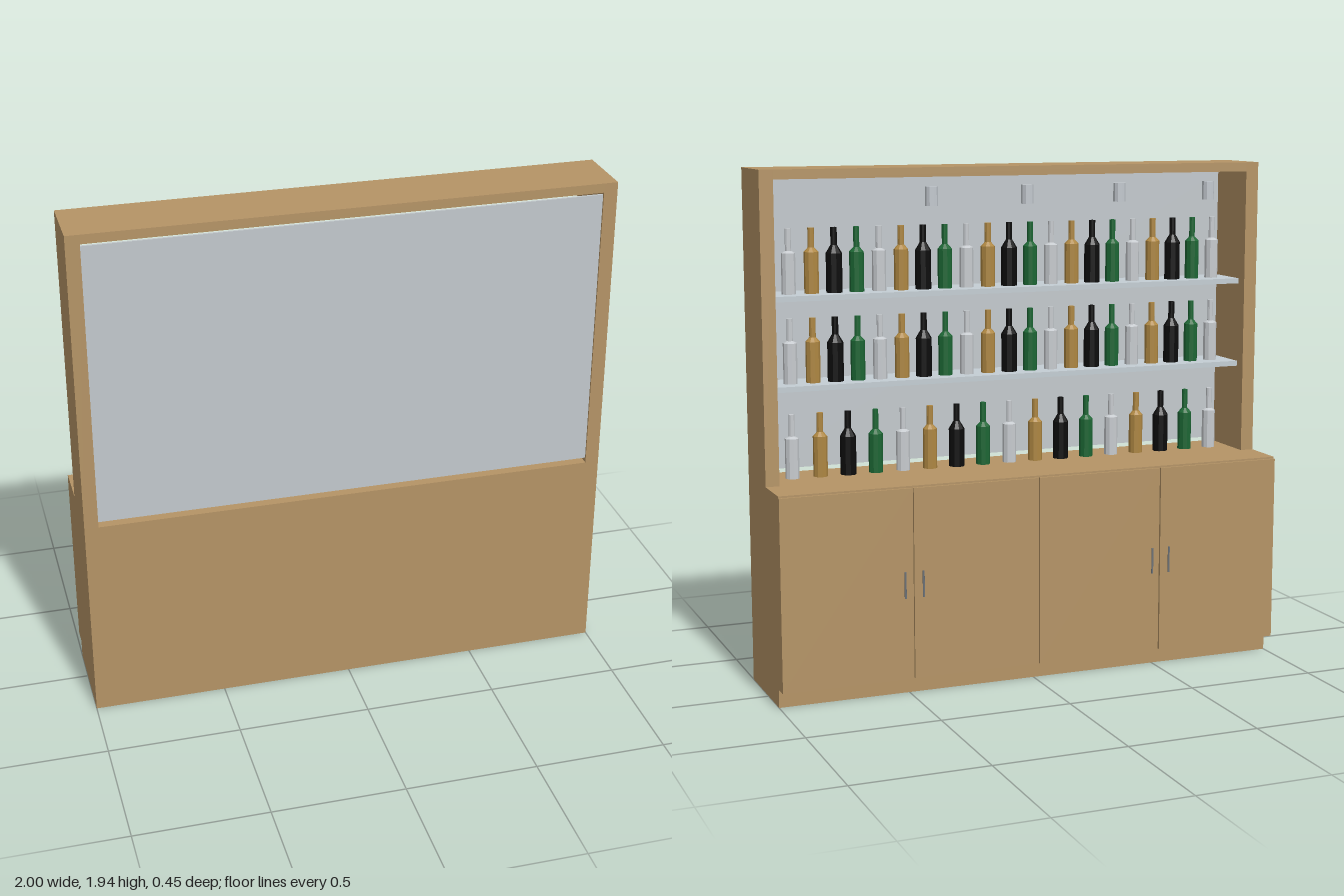
import * as THREE from 'three';

const mat = (name, color, flat = false) => {
  const m = new THREE.MeshStandardMaterial({ color, flatShading: flat });
  m.name = name;
  return m;
};

export function createModel() {
  const root = new THREE.Group();
  root.name = 'backBarCabinet';

  const wood = mat('wood', 0xb59466);
  const mirrorGlass = mat('mirrorGlass', 0xc3c9cd);
  const shelfGlass = mat('shelfGlass', 0xc4ced4);
  const steel = mat('handleSteel', 0x70767c);
  const lampMetal = mat('lampMetal', 0xc4cad0, true);
  const clear = mat('clearGlass', 0xc8ccd0, true);
  const green = mat('greenGlass', 0x1c6634, true);
  const black = mat('blackGlass', 0x0c0c0c, true);
  const amber = mat('amberGlass', 0xae8742, true);

  const add = (name, geometry, material, x, y, z, parent = root) => {
    const mesh = new THREE.Mesh(geometry, material);
    mesh.name = name;
    mesh.position.set(x, y, z);
    parent.add(mesh);
    return mesh;
  };
  // box given by its limits on each axis
  const box = (name, material, [x0, x1], [y0, y1], [z0, z1]) =>
    add(name, new THREE.BoxGeometry(x1 - x0, y1 - y0, z1 - z0), material,
      (x0 + x1) / 2, (y0 + y1) / 2, (z0 + z1) / 2);

  const back = 0.224, counterY = 0.795, topY = 1.937;

  // lower cabinet
  box('plinth', wood, [-1, 1], [0, 0.068], [-0.149, back]);
  box('cabinetBody', wood, [-1, 1], [0.068, counterY], [-0.197, back]);

  // doors in two pairs, with a bar handle beside each meeting edge
  for (const side of [-1, 1]) {
    for (const [a, b] of [[0.002, 0.496], [0.504, 1]]) {
      const xs = side > 0 ? [a, b] : [-b, -a];
      box('door', wood, xs, [0.07, 0.788], [-0.207, -0.197]);
    }
    for (const dx of [-0.035, 0.035]) {
      add('doorHandle', new THREE.CylinderGeometry(0.004, 0.004, 0.1, 8), steel,
        side * 0.5 + dx, 0.43, -0.22);
    }
  }

  // upper frame
  for (const side of [-1, 1]) {
    const xs = side > 0 ? [0.948, 1] : [-1, -0.948];
    box('framePost', wood, xs, [counterY, topY], [-0.025, back]);
  }
  box('frameTop', wood, [-0.948, 0.948], [1.902, topY], [-0.025, back]);
  box('mirror', mirrorGlass, [-0.948, 0.948], [0.813, 1.892], [0.208, 0.217]);

  // glass shelves
  const shelfTops = [1.15, 1.48];
  for (const y of shelfTops) {
    box('shelf', shelfGlass, [-0.947, 0.947], [y - 0.02, y], [0.02, 0.208]);
  }

  // bottles: body, shoulder and neck turned from one profile
  const bottleGeometry = (r, body, shoulder, neck, height) => new THREE.LatheGeometry([
    [0, 0], [r, 0], [r, body], [neck, shoulder], [neck, height], [0, height],
  ].map(([x, y]) => new THREE.Vector2(x, y)), 10);
  const kinds = [
    [bottleGeometry(0.026, 0.15, 0.158, 0.011, 0.24), clear],
    [bottleGeometry(0.027, 0.152, 0.168, 0.012, 0.24), amber],
    [bottleGeometry(0.03, 0.145, 0.175, 0.012, 0.24), black],
    [bottleGeometry(0.027, 0.148, 0.165, 0.011, 0.24), green],
  ];
  const bottleRow = (count, y) => {
    const row = new THREE.Group();
    row.name = 'bottleRow';
    for (let i = 0; i < count; i++) {
      const [geometry, material] = kinds[i % kinds.length];
      add('bottle', geometry, material, 0.865 - (1.73 * i) / (count - 1), y, 0.1, row);
    }
    root.add(row);
  };
  bottleRow(17, counterY);
  for (const y of shelfTops) bottleRow(21, y);

  // spotlights in front of the frame top
  for (let i = 0; i < 4; i++) {
    add('spotlight', new THREE.CylinderGeometry(0.023, 0.023, 0.07, 10), lampMetal,
      -0.75 + i * 0.375, 1.835, -0.083);
  }

  return root;
}
